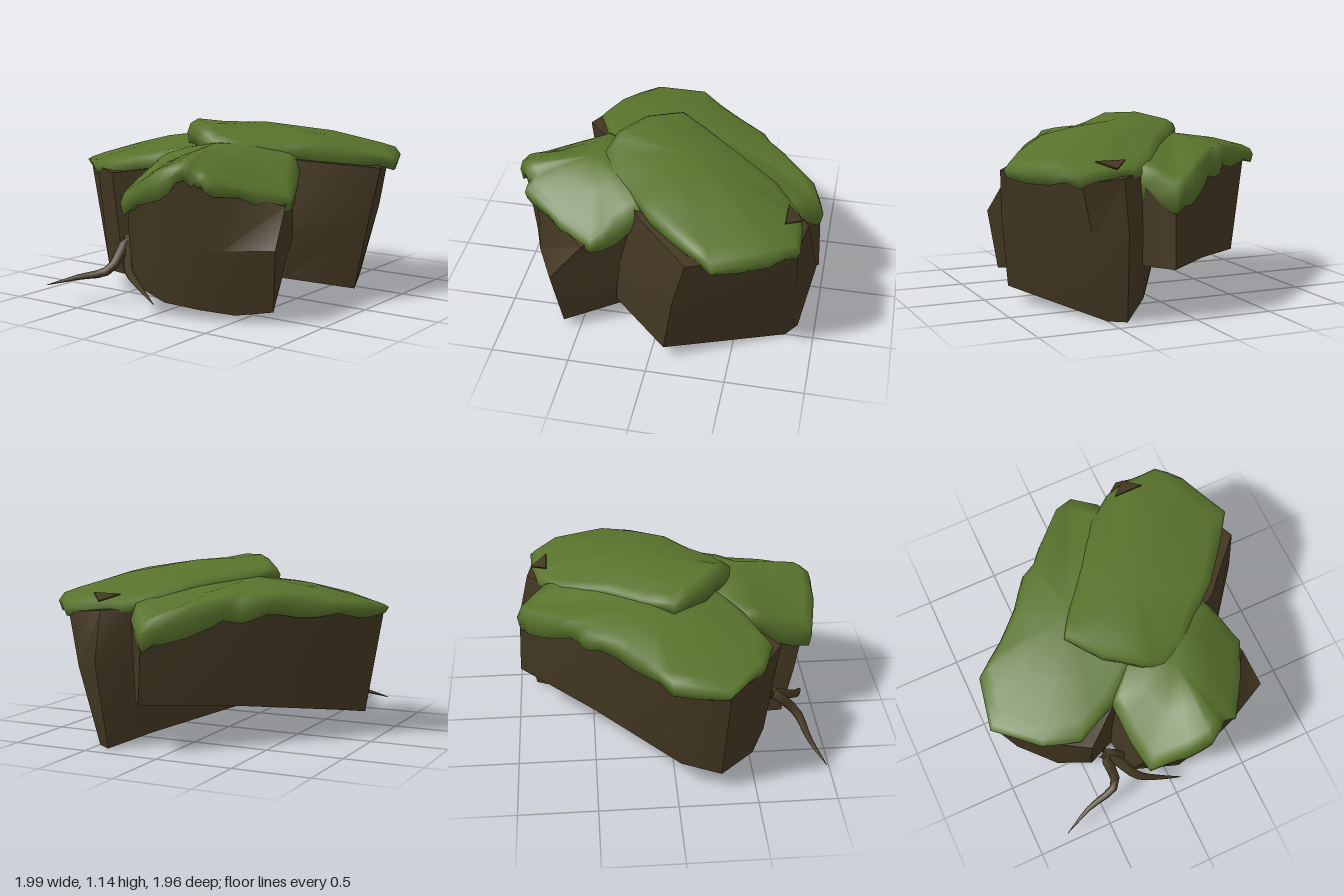
import * as THREE from 'three';
import { mergeVertices, toCreasedNormals } from 'three/addons/utils/BufferGeometryUtils.js';

const rockMat = new THREE.MeshStandardMaterial({ color: 0x433722 });
rockMat.name = 'brownRock';
const grassMat = new THREE.MeshStandardMaterial({ color: 0x58732c });
grassMat.name = 'greenGrass';

// Skin a stack of equal-length rings (bottom to top) and close both ends with fans
function loft(rings, bottomPoint, topPoint) {
  const n = rings[0].length;
  const verts = rings.flat(2);
  const index = [];
  const last = (rings.length - 1) * n;
  for (let r = 0; r < rings.length - 1; r++) {
    for (let i = 0; i < n; i++) {
      const a = r * n + i, b = r * n + (i + 1) % n;
      index.push(a, b, b + n, a, b + n, a + n);
    }
  }
  const low = rings.length * n;
  verts.push(...bottomPoint, ...topPoint);
  for (let i = 0; i < n; i++) {
    const j = (i + 1) % n;
    index.push(low, j, i, low + 1, last + i, last + j);
  }
  const geo = new THREE.BufferGeometry();
  geo.setAttribute('position', new THREE.Float32BufferAttribute(verts, 3));
  geo.setIndex(index);
  geo.computeVertexNormals();
  return geo;
}

const mean = (ring) => [0, 1, 2].map((k) => ring.reduce((s, p) => s + p[k], 0) / ring.length);
const mix = (a, b, t) => a.map((v, k) => v + (b[k] - v) * t);

// Boulder from cross-section rings, bottom to top
function rock(name, rings) {
  const geo = toCreasedNormals(loft(rings, mean(rings[0]), mean(rings.at(-1))), 0.85);
  const mesh = new THREE.Mesh(geo, rockMat);
  mesh.name = name;
  return mesh;
}

// Grass cap from outline points [x, z, hem height, shoulder height] and a crown point
function grass(name, outline, crown) {
  const pts = [];
  outline.forEach((p, i) => {
    const q = outline[(i + 1) % outline.length];
    const m = mix(p, q, 0.5);
    m[2] += i % 2 ? 0.025 : -0.012; // ragged hem
    pts.push(p, m);
  });
  const ring = (scale, height) => pts.map((p) => [
    crown[0] + (p[0] - crown[0]) * scale, height(p), crown[2] + (p[1] - crown[2]) * scale]);
  const rings = [
    ring(0.9, (p) => p[2] + 0.03),
    ring(0.975, (p) => p[2]),
    ring(1, (p) => p[2] + (p[3] - p[2]) * 0.5),
    ring(0.96, (p) => p[3] - 0.015),
    ring(0.86, (p) => p[3] + 0.015),
    ring(0.5, (p) => p[3] * 0.4 + crown[1] * 0.6),
  ];
  const hem = mean(rings[0]);
  const mesh = new THREE.Mesh(loft(rings, [hem[0], hem[1] + 0.02, hem[2]], crown), grassMat);
  mesh.name = name;
  return mesh;
}

// Tapered root running along a list of points
function root(name, points, radius) {
  const curve = new THREE.CatmullRomCurve3(points.map((p) => new THREE.Vector3(...p)), false, 'centripetal');
  const steps = 12, sides = 6;
  const geo = new THREE.TubeGeometry(curve, steps, radius, sides, false);
  const pos = geo.attributes.position, v = new THREE.Vector3();
  for (let i = 0; i < pos.count; i++) {
    const t = Math.floor(i / (sides + 1)) / steps;
    const c = curve.getPointAt(t);
    v.fromBufferAttribute(pos, i).sub(c).multiplyScalar(1 - 0.95 * t ** 2).add(c);
    pos.setXYZ(i, v.x, v.y, v.z);
  }
  geo.deleteAttribute('uv');
  geo.deleteAttribute('normal');
  const smooth = mergeVertices(geo);
  smooth.computeVertexNormals();
  const mesh = new THREE.Mesh(smooth, rockMat);
  mesh.name = name;
  return mesh;
}

export function createModel() {
  const model = new THREE.Group();
  model.name = 'grassyRocks';

  // Long boulder running from the right front to the back
  model.add(rock('rightRock', [
    [[0.22, 0.31, -0.86], [0.13, 0.31, -0.98], [-0.3, 0.26, -0.5], [-0.8, 0.18, 0.03], [-0.86, 0.13, 0.28],
      [-0.66, 0.13, 0.5], [-0.45, 0.15, 0.6], [-0.2, 0.17, 0.5], [0.3, 0.25, -0.2]],
    [[0.26, 0.8, -0.83], [0.12, 0.74, -0.96], [-0.31, 0.86, -0.54], [-0.87, 0.83, 0], [-0.97, 0.82, 0.31],
      [-0.72, 0.83, 0.53], [-0.47, 0.82, 0.68], [-0.2, 0.86, 0.46], [0.3, 0.92, -0.2]]]));
  model.add(grass('rightGrass',
    [[0.27, -0.82, 0.7, 0.91], [0.13, -0.98, 0.62, 0.83], [0, -0.93, 0.68, 0.87], [-0.22, -0.7, 0.77, 0.93],
      [-0.31, -0.59, 0.79, 0.95], [-0.41, -0.54, 0.8, 0.94], [-0.55, -0.35, 0.82, 0.95], [-0.72, -0.19, 0.8, 0.93],
      [-0.93, -0.03, 0.79, 0.9], [-1, 0.31, 0.79, 0.86], [-0.75, 0.54, 0.78, 0.88], [-0.52, 0.62, 0.79, 0.9],
      [-0.25, 0.5, 0.81, 0.94], [0.1, 0.25, 0.88, 1.01], [0.35, -0.3, 0.9, 1.05]],
    [-0.26, 1.03, -0.12]));

  // Large tilted boulder at the left back
  model.add(rock('leftRock', [
    [[0.87, 0.1, -0.09], [0.5, 0, -0.82], [0.4, 0, -0.89], [0.2, 0.08, -0.68], [-0.2, 0.2, 0],
      [0.02, 0.2, 0.25], [0.3, 0.2, 0.3], [0.58, 0.2, 0.28]],
    [[0.93, 0.55, -0.16], [0.61, 0.5, -0.88], [0.43, 0.55, -0.98], [0.2, 0.5, -0.72], [-0.28, 0.6, 0],
      [0, 0.6, 0.3], [0.3, 0.6, 0.35], [0.62, 0.52, 0.24]],
    [[0.96, 0.86, -0.24], [0.68, 0.84, -0.87], [0.43, 0.86, -0.91], [0.22, 0.88, -0.74], [-0.31, 1.01, 0.01],
      [0, 1.02, 0.34], [0.2, 0.98, 0.38], [0.63, 0.92, 0.11]]]));
  model.add(grass('leftGrass',
    [[0.99, -0.4, 0.83, 0.93], [0.84, -0.74, 0.82, 0.95], [0.71, -0.89, 0.81, 0.92], [0.5, -0.88, 0.83, 0.93],
      [0.33, -0.84, 0.82, 0.92], [0.15, -0.7, 0.84, 0.96], [-0.05, -0.4, 0.94, 1.03], [-0.25, -0.15, 0.98, 1.06],
      [-0.36, 0.02, 0.98, 1.09], [-0.2, 0.24, 0.98, 1.13], [0, 0.39, 0.97, 1.12], [0.14, 0.44, 0.94, 1.06],
      [0.3, 0.38, 0.92, 1.03], [0.47, 0.2, 0.9, 1.02], [0.66, 0.04, 0.89, 1.02], [0.85, -0.2, 0.86, 0.98]],
    [0.18, 1.12, -0.1]));

  // Bare stone patch in the turf at the back
  const patch = new THREE.Mesh(new THREE.CylinderGeometry(0.11, 0.11, 0.009, 3), rockMat);
  patch.name = 'barePatch';
  patch.position.set(0.46, 0.938, -0.81);
  patch.rotation.set(-0.36, Math.PI, 0);
  patch.scale.z = 0.65;
  model.add(patch);

  // Front boulder with drooping turf
  model.add(rock('frontRock', [
    [[0.71, 0.07, 0.6], [0.5, 0.13, 0.2], [-0.15, 0.2, 0.2], [-0.28, 0.16, 0.5], [-0.24, 0.14, 0.75],
      [0.08, 0.09, 0.85], [0.3, 0.06, 0.78], [0.5, 0.04, 0.7]],
    [[0.76, 0.46, 0.66], [0.6, 0.5, 0.2], [-0.12, 0.5, 0.2], [-0.25, 0.5, 0.5], [-0.22, 0.45, 0.82],
      [0.08, 0.45, 0.89], [0.29, 0.45, 0.87], [0.48, 0.45, 0.8]],
    [[0.7, 0.69, 0.46], [0.55, 0.87, 0.15], [-0.1, 0.88, 0.2], [-0.22, 0.78, 0.5], [-0.18, 0.7, 0.87],
      [0.1, 0.82, 0.93], [0.28, 0.91, 0.92], [0.47, 0.82, 0.79]]]));
  model.add(grass('frontGrass',
    [[0.71, 0.4, 0.65, 0.76], [0.65, 0.25, 0.69, 0.87], [0.58, 0.1, 0.78, 0.95], [0.4, 0.08, 0.88, 1],
      [0, 0.2, 0.88, 1], [-0.25, 0.48, 0.8, 0.93], [-0.23, 0.72, 0.66, 0.84], [-0.19, 0.93, 0.61, 0.77],
      [0.06, 0.98, 0.72, 0.9], [0.21, 0.98, 0.79, 0.95], [0.29, 0.93, 0.87, 0.96], [0.34, 0.88, 0.82, 0.93],
      [0.42, 0.89, 0.8, 0.89], [0.48, 0.8, 0.77, 0.87], [0.6, 0.62, 0.7, 0.81]],
    [0.2, 1.04, 0.48]));

  // Forked roots in the gap between the front boulders
  model.add(root('rightRoot',
    [[-0.27, 0.3, 0.68], [-0.37, 0.4, 0.64], [-0.38, 0.23, 0.82], [-0.6, 0.16, 0.88], [-0.79, 0.1, 0.96]], 0.037));
  model.add(root('leftRoot',
    [[-0.39, 0.4, 0.62], [-0.31, 0.33, 0.7], [-0.22, 0.25, 0.83], [-0.08, 0.17, 0.89], [0.06, 0.09, 0.93]], 0.037));
  return model;
}
